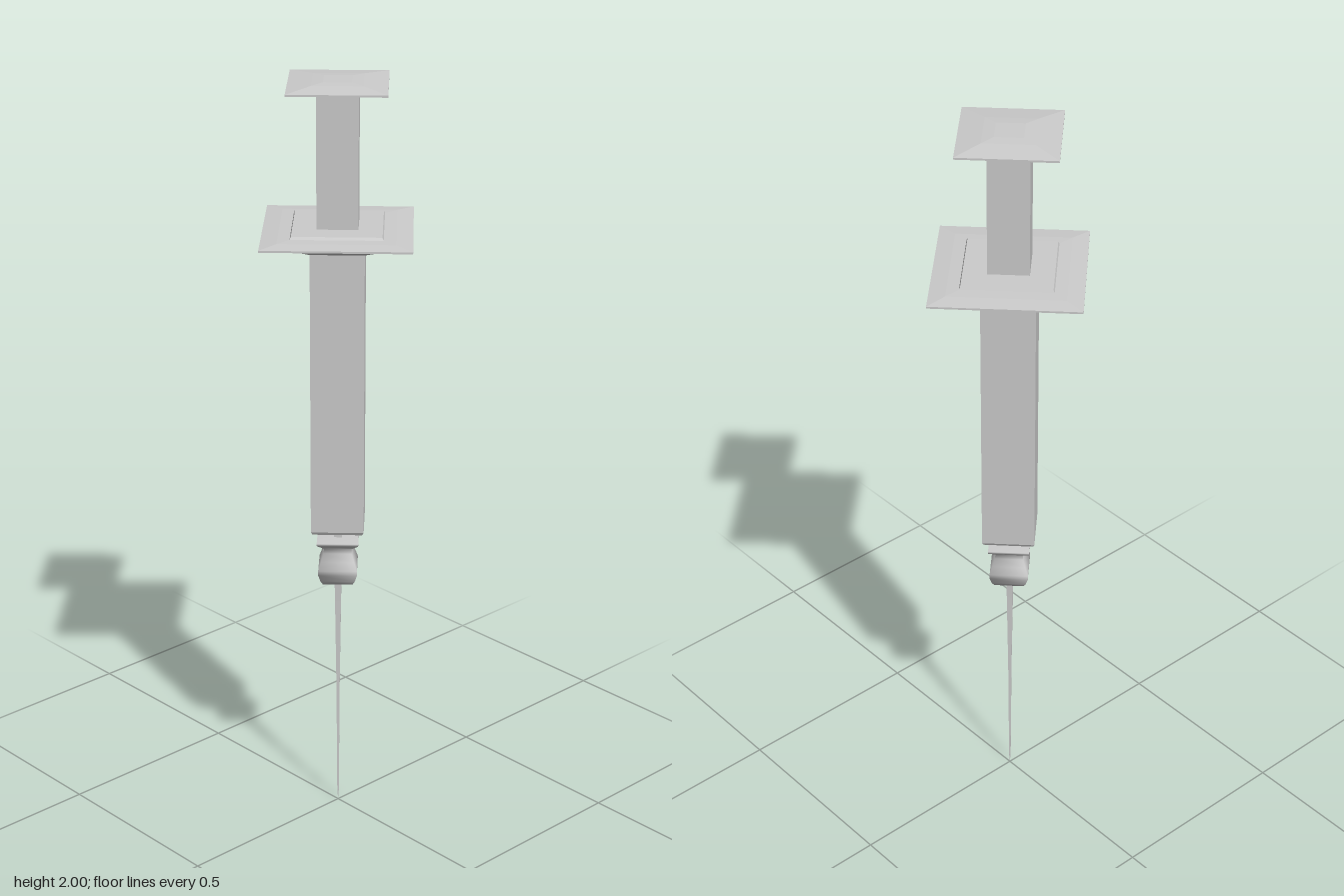
import * as THREE from 'three';

// Four-sided turned part; profile runs bottom to top as [radius, height].
// Corners lie on the x and z axes.
function turned(name, profile, flatShading = true) {
  const points = profile.map(([r, y]) => new THREE.Vector2(r, y));
  const material = new THREE.MeshStandardMaterial({
    color: 0xcccccc, flatShading, side: THREE.DoubleSide,
  });
  const mesh = new THREE.Mesh(new THREE.LatheGeometry(points, 4), material);
  mesh.name = name;
  return mesh;
}

export function createModel() {
  const model = new THREE.Group();
  model.name = 'syringe';

  model.add(
    // Long tapering needle
    turned('needle', [[0, 0], [0.003, 0.03], [0.006, 0.35], [0.011, 0.6], [0.013, 0.68]]),

    // Bulbous hub with a thin collar on top
    turned('needleHub', [
      [0, 0.665], [0.055, 0.665], [0.063, 0.676], [0.071, 0.695], [0.071, 0.708],
      [0.061, 0.73], [0.052, 0.752], [0.05, 0.765], [0.06, 0.771], [0.076, 0.781],
      [0.076, 0.787], [0, 0.787],
    ], false),

    // Narrow tip joining hub and barrel
    turned('nozzle', [[0.014, 0.78], [0.014, 0.825]]),

    // Barrel with a small bevel at its lower end
    turned('barrel', [[0, 0.818], [0.09, 0.818], [0.096, 0.826], [0.096, 1.58]]),

    // Flared finger flange with a raised step on top
    turned('fingerFlange', [
      [0.094, 1.574], [0.2, 1.612], [0.264, 1.618], [0.264, 1.623],
      [0.205, 1.627], [0.162, 1.628], [0.158, 1.635], [0, 1.635],
    ]),

    // Plunger rod
    turned('plungerRod', [[0.073, 1.62], [0.073, 1.982]]),

    // Slightly domed thumb rest
    turned('thumbRest', [
      [0, 1.976], [0.07, 1.976], [0.174, 1.986], [0.174, 1.991],
      [0.09, 1.998], [0.05, 2.0], [0, 2.0],
    ]),
  );
  return model;
}
